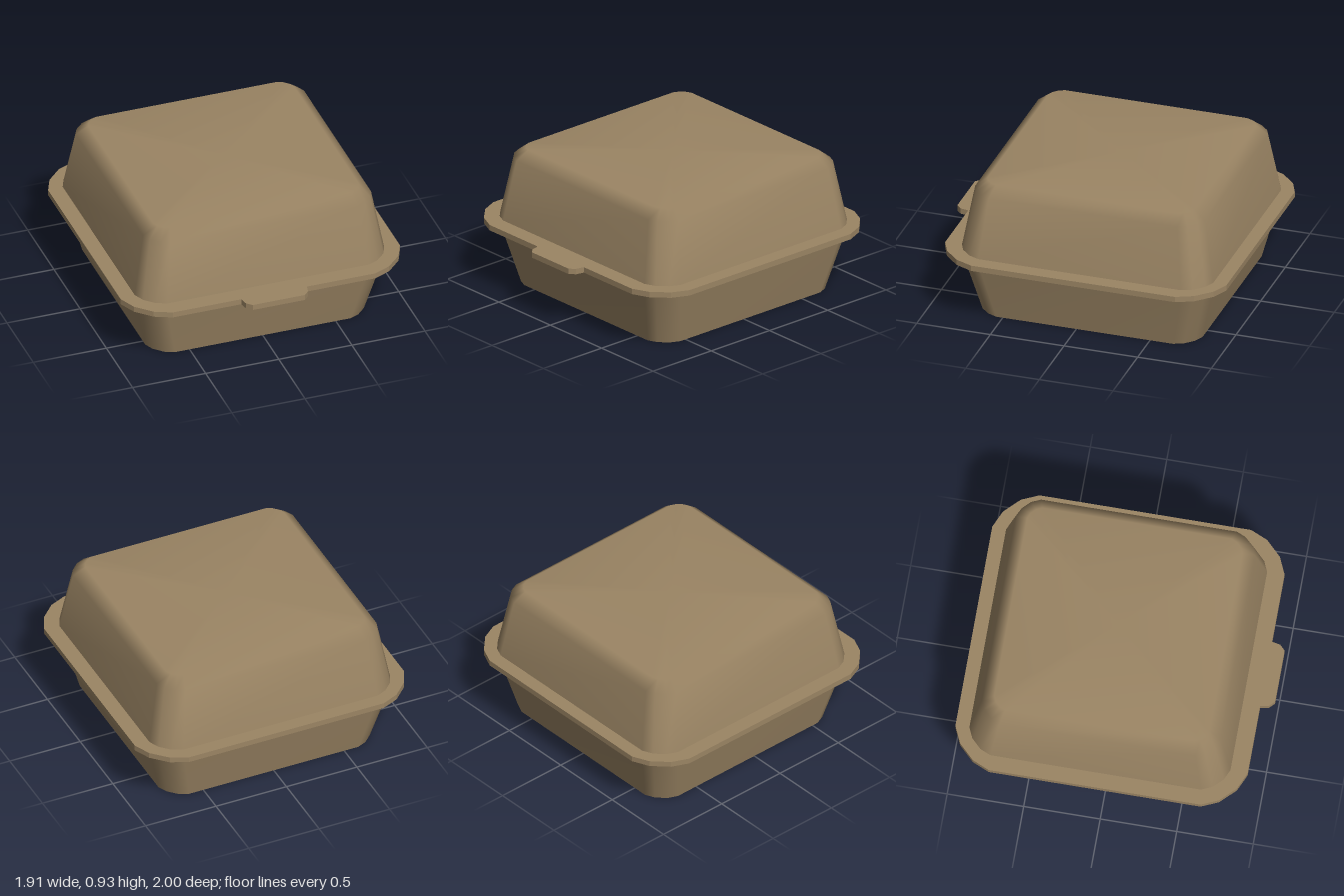
import * as THREE from 'three';

// Rounded-square outline, counter-clockwise seen from above (second axis points to the back)
function outline(half, radius) {
  const pts = [];
  for (let q = 0; q < 4; q++) {
    for (const [a, b] of [[0, 1], [0.19, 0.57], [0.57, 0.19], [1, 0]]) {
      let x = half - a * radius, y = half - b * radius;
      for (let k = 0; k < q; k++) [x, y] = [-y, x];
      pts.push([x, y]);
    }
  }
  return pts;
}

// Smooth wall through a stack of outlines [y, half, radius]; an optional cap shares the last ring
function loft(levels, capTop) {
  const pos = [], idx = [], n = 16;
  for (const [y, half, radius] of levels) {
    for (const [x, s] of outline(half, radius)) pos.push(x, y, -s);
  }
  for (let l = 0; l < levels.length - 1; l++) {
    for (let i = 0; i < n; i++) {
      const a = l * n + i, b = l * n + (i + 1) % n;
      idx.push(a, b, b + n, a, b + n, a + n);
    }
  }
  if (capTop) {
    const base = (levels.length - 1) * n, centre = pos.length / 3;
    pos.push(0, levels[levels.length - 1][0], 0);
    for (let i = 0; i < n; i++) idx.push(centre, base + i, base + (i + 1) % n);
  }
  const geo = new THREE.BufferGeometry();
  geo.setAttribute('position', new THREE.Float32BufferAttribute(pos, 3));
  geo.setIndex(idx);
  geo.computeVertexNormals();
  return geo;
}

const toShape = (pts) => new THREE.Shape(pts.map(([x, y]) => new THREE.Vector2(x, y)));

export function createModel() {
  const group = new THREE.Group();
  group.name = 'takeawayBox';
  const card = new THREE.MeshStandardMaterial({ color: 0x9b8564 });
  card.name = 'brownCard';

  const add = (name, geo, z) => {
    const mesh = new THREE.Mesh(geo, card);
    mesh.name = name;
    mesh.position.z = z;
    group.add(mesh);
    return mesh;
  };
  const bodyZ = -0.056, rimZ = -0.045;
  const rimLow = 0.415, rimHigh = 0.453;

  // Lower tray: tapered wall and a crisp flat base
  add('trayWall', loft([[0, 0.75, 0.15], [rimLow, 0.853, 0.165]], false), bodyZ);
  const base = new THREE.ShapeGeometry(toShape(outline(0.75, 0.15)));
  base.rotateX(Math.PI / 2);
  base.scale(1, 1, 1);
  add('trayBase', base, bodyZ);

  // Lid: tapered wall, bevelled shoulder and flat top
  add('lid', loft([
    [rimHigh, 0.853, 0.165],
    [0.865, 0.78, 0.14],
    [0.928, 0.703, 0.085],
  ], true), bodyZ);

  // Flat rim with the opening tab at the front
  const rimPts = outline(0.955, 0.263);
  rimPts.splice(12, 0,
    [-0.224, -0.955], [-0.213, -1.01], [-0.178, -1.045],
    [0.178, -1.045], [0.213, -1.01], [0.224, -0.955]);
  const rim = new THREE.ExtrudeGeometry(toShape(rimPts), { depth: rimHigh - rimLow, bevelEnabled: false });
  rim.rotateX(-Math.PI / 2);
  add('rimWithTab', rim, rimZ).position.y = rimLow;

  return group;
}
